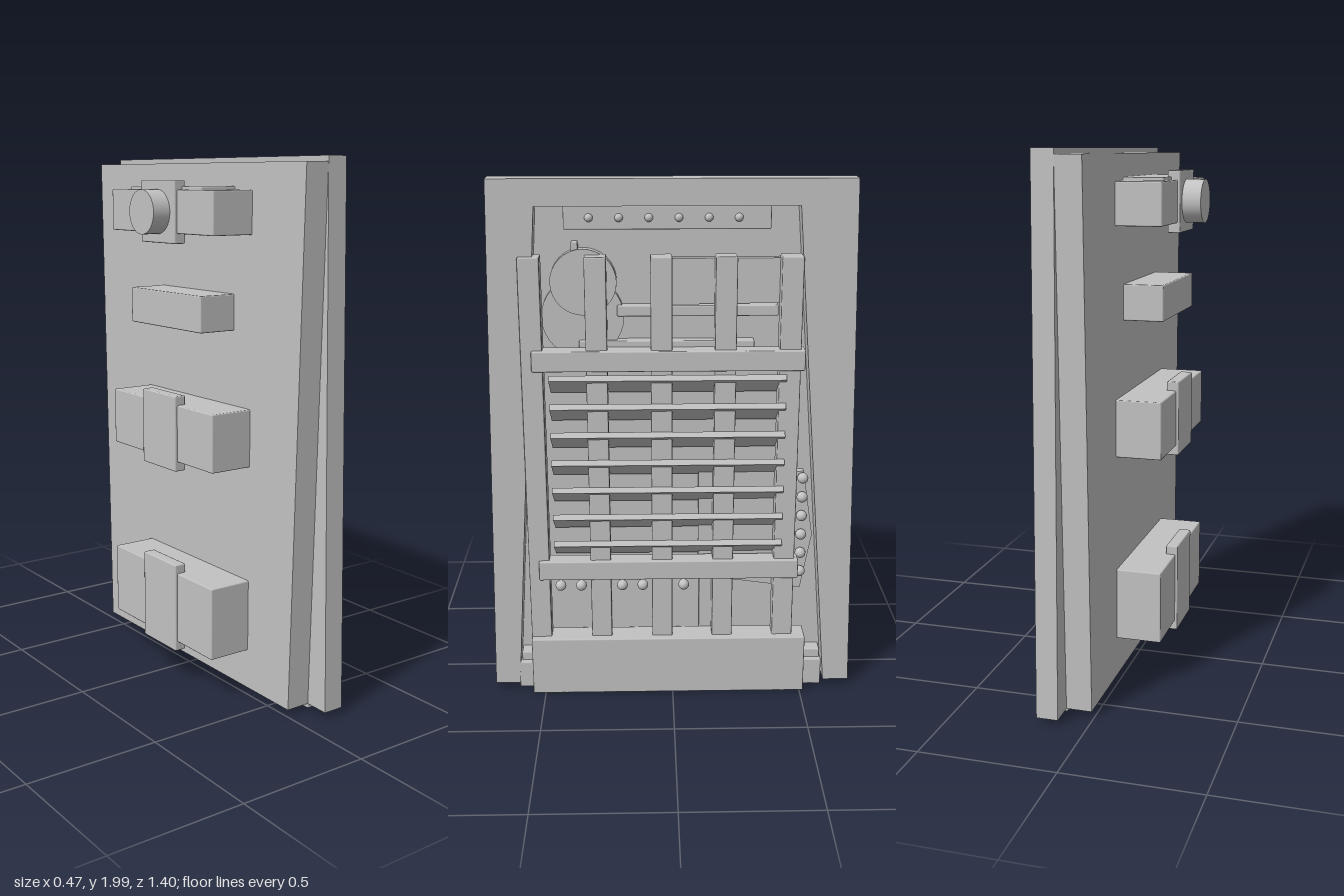
import * as THREE from 'three';
import { RoundedBoxGeometry } from 'three/addons/geometries/RoundedBoxGeometry.js';

export function createModel() {
  const model = new THREE.Group();
  model.name = 'louveredPanel';
  const grey = new THREE.MeshStandardMaterial({ color: 0xc2c2c2 });
  grey.name = 'light grey';

  function add(name, geometry) {
    const mesh = new THREE.Mesh(geometry, grey);
    mesh.name = name;
    model.add(mesh);
    return mesh;
  }

  // Softly edged box given by its extents
  function box(name, x0, x1, y0, y1, z0, z1) {
    const g = new RoundedBoxGeometry(x1 - x0, y1 - y0, z1 - z0, 1, 0.005);
    add(name, g).position.set((x0 + x1) / 2, (y0 + y1) / 2, (z0 + z1) / 2);
  }

  // Flat outline of [z, y] points, extruded along x
  function plate(name, points, x0, x1) {
    const shape = new THREE.Shape(points.map(([z, y]) => new THREE.Vector2(-z, y)));
    const g = new THREE.ExtrudeGeometry(shape, { depth: x1 - x0, bevelEnabled: false });
    g.rotateY(Math.PI / 2).translate(x0, 0, 0);
    add(name, g);
  }

  // Round disc with its axis along x
  function disc(name, x0, x1, y, z, r) {
    const g = new THREE.CylinderGeometry(r, r, x1 - x0, 32).rotateZ(Math.PI / 2);
    add(name, g).position.set((x0 + x1) / 2, y, z);
  }

  function stud(name, x, y, z, r) {
    add(name, new THREE.SphereGeometry(r, 16, 10)).position.set(x, y, z);
  }

  // Backing slab and splayed frame, open at the bottom
  plate('backSlab', [[0.65, 1.98], [-0.65, 1.98], [-0.605, 0.03], [0.605, 0.03]], 0.01, 0.11);
  plate('frame', [[0.65, 2], [-0.65, 2], [-0.7, 0.03], [-0.6, 0.03],
    [-0.45, 1.905], [0.485, 1.905], [0.605, 0.03], [0.7, 0.03]], 0.105, 0.185);

  // Sill
  box('sillBase', 0.105, 0.185, 0.01, 0.12, -0.59, 0.605);
  box('sillBacking', 0.105, 0.165, 0.02, 0.155, -0.585, 0.595);
  box('sill', 0.13, 0.235, 0.01, 0.245, -0.515, 0.548);

  // Uprights and cross rails
  for (const z of [0.51, 0.275, 0.04, -0.192, -0.427]) {
    box('upright', 0.13, 0.205, 0.2, 1.73, z - 0.039, z + 0.039);
  }
  for (const y of [0.53, 1.355]) {
    box('crossRail', 0.15, 0.222, y - 0.038, y + 0.038, -0.48, 0.51);
  }

  // Tilted louvres, higher at their outer edge
  for (let i = 0; i < 7; i++) {
    const g = new THREE.BoxGeometry(0.12, 0.022, 0.865);
    g.translate(-0.06, 0.011, 0).rotateZ(0.62);
    add('louvre', g).position.set(0.221, 1.283 - i * 0.1085, 0.0175);
  }

  // Studded header
  box('header', 0.1, 0.16, 1.82, 1.905, -0.35, 0.385);
  for (let i = 0; i < 6; i++) stud('headerStud', 0.16, 1.862, 0.295 - i * 0.106, 0.015);

  // Objects behind the uprights
  disc('upperDisc', 0.1, 0.15, 1.63, 0.32, 0.12);
  disc('lowerDisc', 0.1, 0.135, 1.5, 0.325, 0.15);
  box('discTab', 0.11, 0.14, 1.73, 1.775, 0.337, 0.362);
  box('shelf', 0.1, 0.15, 1.505, 1.545, -0.385, 0.2);
  plate('shelfBlock', [[0.02, 1.715], [-0.39, 1.715], [-0.39, 1.55], [-0.1, 1.55],
    [-0.06, 1.515], [0, 1.515], [0.02, 1.54]], 0.1, 0.14);
  box('lowerShelf', 0.1, 0.15, 1.36, 1.415, -0.3, 0.34);
  plate('leaningPanel', [[-0.1, 0.9], [-0.5, 0.9], [-0.54, 0.64], [-0.5, 0.415],
    [-0.1, 0.47]], 0.1, 0.14);
  box('lowerBlock', 0.1, 0.13, 0.2, 0.47, -0.23, -0.105);

  // Loose rows of studs
  for (const z of [0.435, 0.355, 0.195, 0.115, -0.045]) stud('lowerStud', 0.14, 0.432, z, 0.021);
  for (let i = 0; i < 6; i++) stud('sideStud', 0.16, 0.88 - i * 0.077, -0.494, 0.021);

  // Rear boxes with upright straps
  for (const [y0, y1] of [[0.18, 0.455], [0.89, 1.105], [1.73, 1.885]]) {
    box('rearBox', -0.16, 0.02, y0, y1, -0.29, 0.365);
    box('rearStrap', -0.17, -0.123, y0 - 0.036, y1 + 0.034, -0.07, 0.147);
  }
  box('plainRearBox', -0.14, 0.02, 1.382, 1.515, -0.19, 0.265);
  box('raisedRearBox', -0.138, 0.02, 1.75, 1.897, -0.19, 0.265);
  disc('rearKnob', -0.24, -0.16, 1.806, 0.038, 0.08);

  return model;
}
